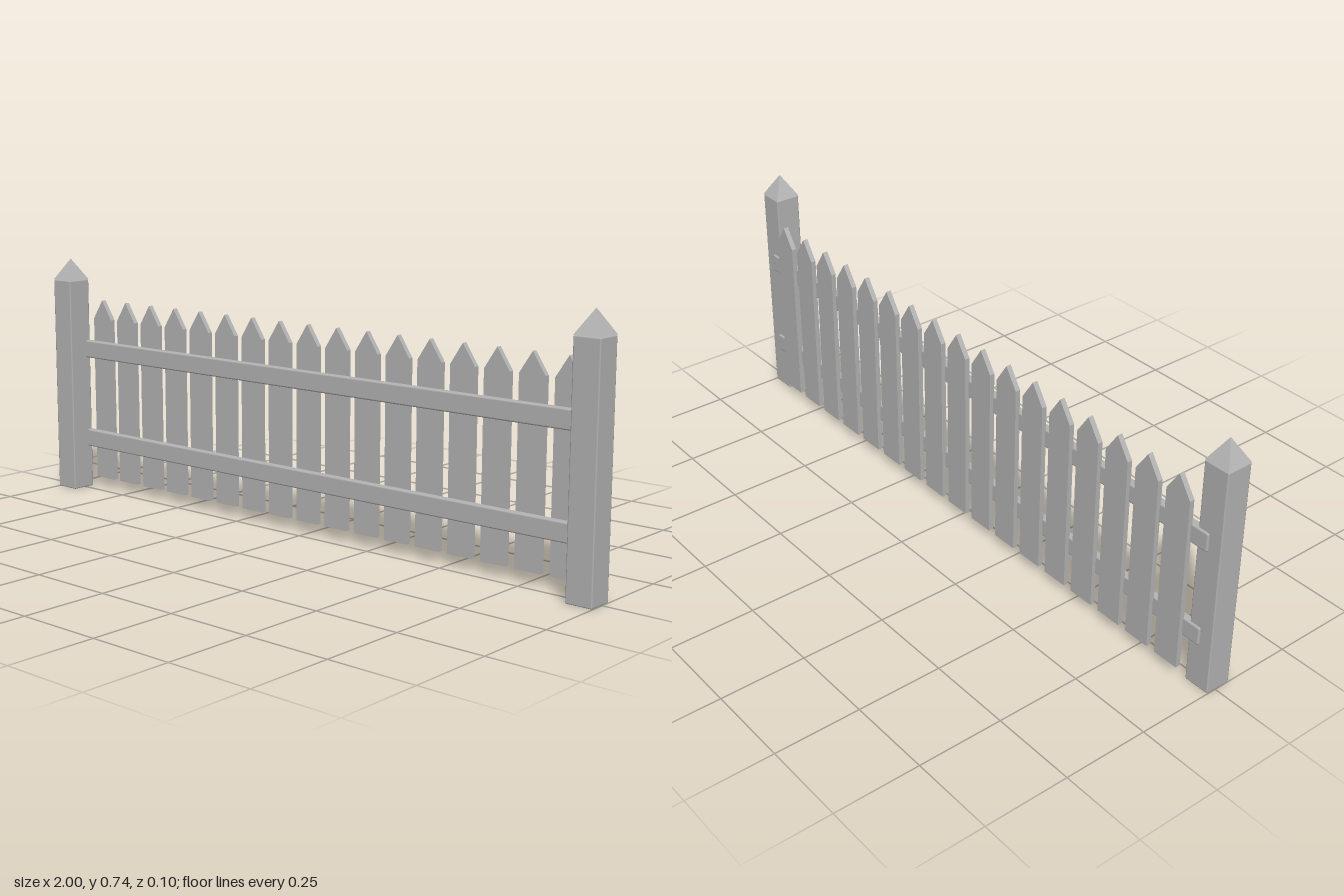
import * as THREE from 'three';
import { RoundedBoxGeometry } from 'three/addons/geometries/RoundedBoxGeometry.js';

const PICKETS = 17, SPACING = 0.108;
const POST_W = 0.078, POST_H = 0.672, POST_Z = 0.009;

export function createModel() {
  const fence = new THREE.Group();
  fence.name = 'picketFence';
  const grey = new THREE.MeshStandardMaterial({ color: 0xb4b4b4 });
  grey.name = 'plain grey';

  const add = (name, geometry, x, y, z) => {
    const mesh = new THREE.Mesh(geometry, grey);
    mesh.name = name;
    mesh.position.set(x, y, z);
    fence.add(mesh);
  };

  // End posts with pyramid caps
  const post = new RoundedBoxGeometry(POST_W, POST_H, POST_W, 1, 0.004);
  let cap = new THREE.ConeGeometry(POST_W / Math.SQRT2, 0.066, 4).rotateY(Math.PI / 4).toNonIndexed();
  cap.computeVertexNormals();
  for (const [side, x] of [['left', 0.961], ['right', -0.961]]) {
    add(side + 'Post', post, x, POST_H / 2, POST_Z);
    add(side + 'PostCap', cap, x, POST_H + 0.033, POST_Z);
  }

  // Horizontal rails, reaching into the posts
  const rail = new RoundedBoxGeometry(1.92, 0.055, 0.024, 1, 0.005);
  add('lowerRail', rail, 0, 0.161, -0.024);
  add('upperRail', rail, 0, 0.45, -0.024);

  // Pointed pickets behind the rails
  const outline = new THREE.Shape([
    [-0.04, 0.033], [0.04, 0.033], [0.04, 0.548], [0, 0.608], [-0.04, 0.548],
  ].map(([x, y]) => new THREE.Vector2(x, y)));
  const picket = new THREE.ExtrudeGeometry(outline, { depth: 0.015, bevelEnabled: false });
  for (let i = 0; i < PICKETS; i++) {
    add('picket' + (i + 1), picket, (i - (PICKETS - 1) / 2) * SPACING, 0, -0.048);
  }
  return fence;
}
